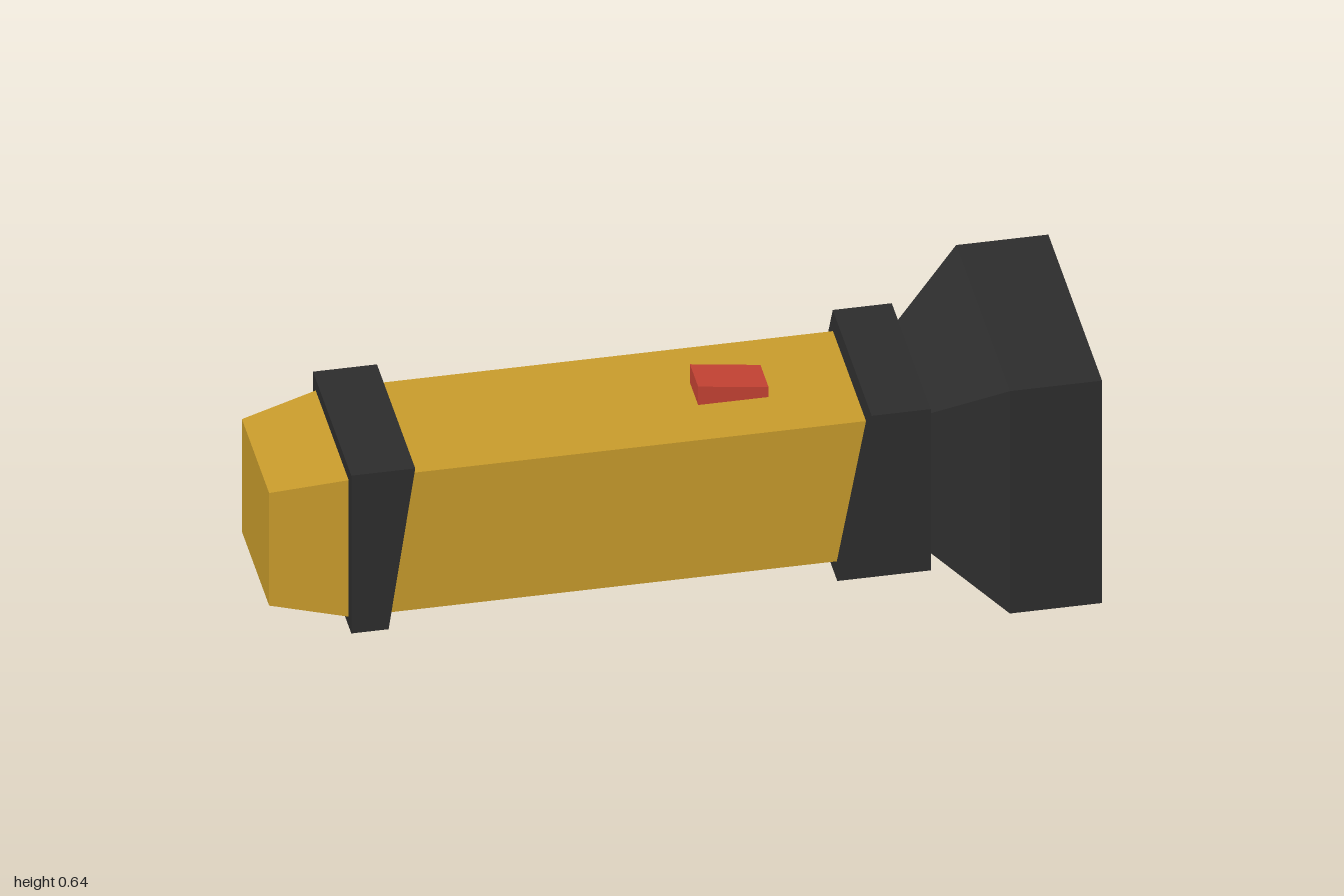
import * as THREE from 'three';

const AXIS_Y = 0.32;

function material(name, color) {
  const m = new THREE.MeshStandardMaterial({ color });
  m.name = name;
  return m;
}

// Square-section solid along x from [x, half width] points
function squareLoft(points) {
  const profile = points.map(([x, half]) => new THREE.Vector2(half * Math.SQRT2, x));
  const geo = new THREE.LatheGeometry(profile, 4, Math.PI / 4).toNonIndexed();
  geo.rotateZ(-Math.PI / 2);
  geo.translate(0, AXIS_Y, 0);
  geo.computeVertexNormals();
  return geo;
}

// Side outline in x and y, extruded evenly to both sides in z
function prism(outline, halfZ) {
  const shape = new THREE.Shape(outline.map(([x, y]) => new THREE.Vector2(x, y)));
  const geo = new THREE.ExtrudeGeometry(shape, { depth: halfZ * 2, bevelEnabled: false });
  geo.translate(0, 0, -halfZ);
  return geo;
}

export function createModel() {
  const yellow = material('yellow casing', 0xc99c2c);
  const black = material('black rubber', 0x2d2d2d);
  const red = material('red switch', 0xc64334);
  const glass = material('pale lens', 0xcacaca);

  const group = new THREE.Group();
  group.name = 'flashlight';
  const add = (name, geo, mat) => {
    const mesh = new THREE.Mesh(geo, mat);
    mesh.name = name;
    group.add(mesh);
    return mesh;
  };

  // Casing with tapered tail
  add('body', squareLoft([[-1, 0], [-1, 0.162], [-0.81, 0.197], [0.5, 0.197]]), yellow);

  // Slanted collars
  add('rearCollar', prism([[-0.813, 0.096], [-0.722, 0.096], [-0.657, 0.55], [-0.813, 0.55]], 0.228), black);
  add('frontCollar', prism([[0.372, 0.09], [0.6, 0.09], [0.6, 0.554], [0.456, 0.554]], 0.232), black);

  // Flared head with a recessed opening
  add('head', squareLoft([[0.59, 0.193], [0.6, 0.197], [0.775, 0.32], [1, 0.32], [1, 0.258], [0.97, 0.258]]), black);

  // Lens at the bottom of the recess
  const lens = add('lens', new THREE.PlaneGeometry(0.516, 0.516), glass);
  lens.rotation.y = Math.PI / 2;
  lens.position.set(0.97, AXIS_Y, 0);

  // Wedge switch on top
  add('switch', prism([[0.07, 0.51], [0.242, 0.51], [0.242, 0.545], [0.07, 0.57]], 0.049), red);

  return group;
}
